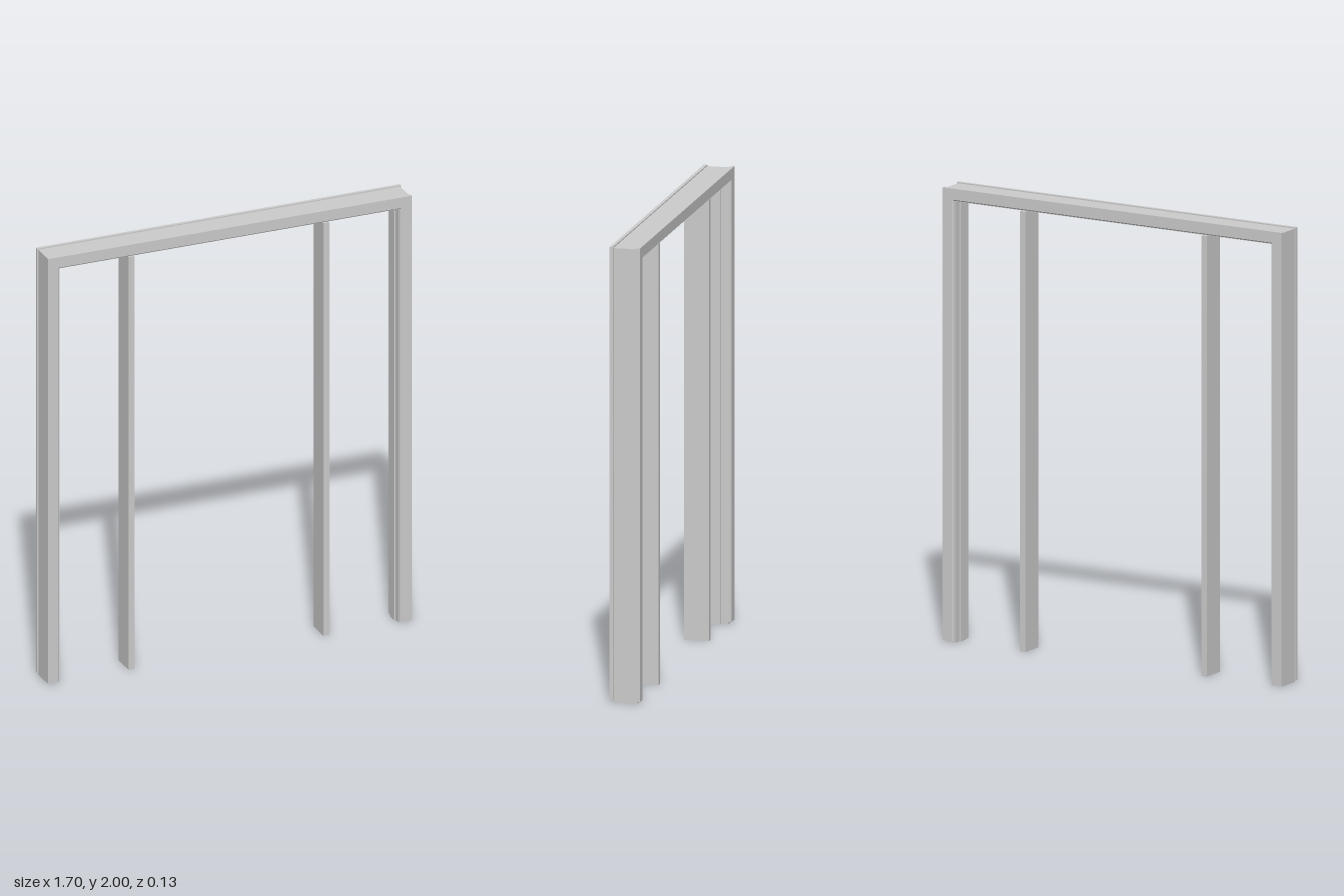
import * as THREE from 'three';

const HALF = 0.85, TOP = 2;

// Sweeps a closed profile of [inset, z] points up, across and down the opening, with mitred corners
function mitredFrame(profile, bottom) {
  const rings = [
    profile.map(([d, z]) => [-HALF + d, bottom, z]),
    profile.map(([d, z]) => [-HALF + d, TOP - d, z]),
    profile.map(([d, z]) => [HALF - d, TOP - d, z]),
    profile.map(([d, z]) => [HALF - d, bottom, z]),
  ];
  const pos = [];
  const tri = (...pts) => pts.forEach((p) => pos.push(...p));
  for (let r = 0; r < 3; r++) {
    for (let i = 0; i < profile.length; i++) {
      const j = (i + 1) % profile.length;
      const a = rings[r][i], b = rings[r][j], c = rings[r + 1][j], d = rings[r + 1][i];
      tri(a, d, c);
      tri(a, c, b);
    }
  }
  // Feet of the two jambs
  const contour = profile.map(([d, z]) => new THREE.Vector2(d, z));
  for (const [i, j, k] of THREE.ShapeUtils.triangulateShape(contour, [])) {
    tri(rings[0][i], rings[0][j], rings[0][k]);
    tri(rings[3][i], rings[3][k], rings[3][j]);
  }
  const geometry = new THREE.BufferGeometry();
  geometry.setAttribute('position', new THREE.Float32BufferAttribute(pos, 3));
  geometry.computeVertexNormals();
  return geometry;
}

export function createModel() {
  const group = new THREE.Group();
  const material = new THREE.MeshStandardMaterial({ color: 0xcccccc });
  const add = (name, geometry, x = 0, y = 0, z = 0) => {
    const mesh = new THREE.Mesh(geometry, material);
    mesh.name = name;
    mesh.position.set(x, y, z);
    group.add(mesh);
  };

  // Lining with a raised door stop along its middle
  add('lining', mitredFrame([
    [0.005, -0.055], [0.058, -0.055], [0.058, -0.022], [0.065, -0.022],
    [0.065, 0.022], [0.058, 0.022], [0.058, 0.055], [0.005, 0.055],
  ], 0));

  // Casings on both faces, standing slightly proud of the lining's outer side
  const casing = [[0, 0.052], [0.054, 0.052], [0.054, 0.061], [0.049, 0.067], [0, 0.067]];
  add('frontCasing', mitredFrame(casing, 0.008));
  add('backCasing', mitredFrame(casing.map(([d, z]) => [d, -z]).reverse(), 0.008));

  // Two intermediate posts
  for (const side of [-1, 1]) {
    add(side > 0 ? 'leftPost' : 'rightPost',
      new THREE.BoxGeometry(0.028, 1.938, 0.11), side * 0.455, 0.969, 0);
  }

  // Small hinge leaves on one jamb and a strike plate on the other
  for (const y of [0.3, 1.05, 1.8]) {
    add('hingeLeaf', new THREE.BoxGeometry(0.003, 0.05, 0.016), -HALF + 0.058, y, -0.036);
  }
  add('strikePlate', new THREE.BoxGeometry(0.003, 0.06, 0.016), HALF - 0.058, 0.92, -0.036);

  return group;
}
